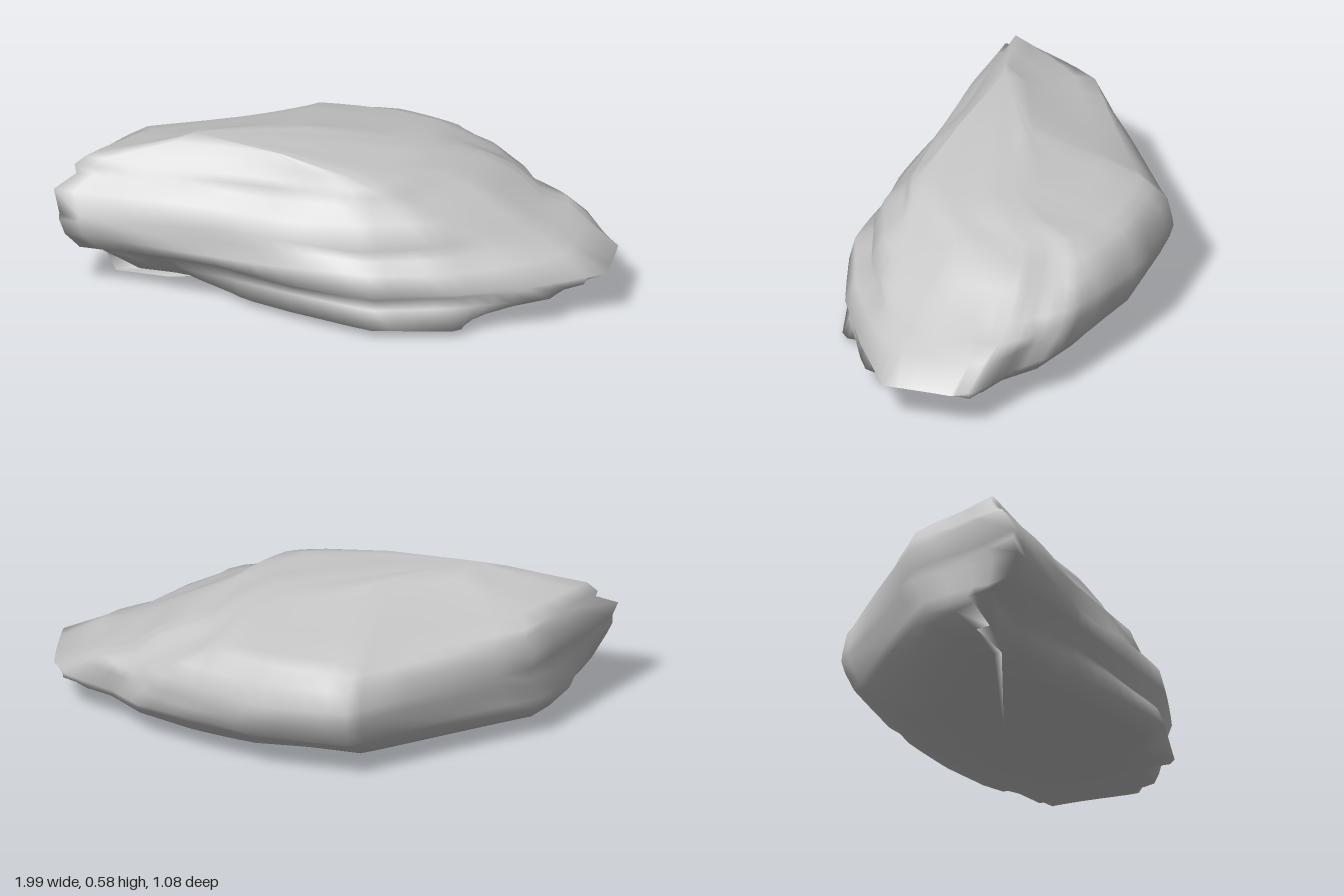
import * as THREE from 'three';

// Widest outline of the boulder in plan (x, z), starting at the pointed corner
const OUTLINE = [
  [-1, 0.48], [-0.7, 0.5], [-0.4, 0.5], [-0.1, 0.53], [0.22, 0.53], [0.5, 0.44],
  [0.75, 0.29], [0.99, 0.11], [0.97, -0.15], [0.92, -0.22], [0.72, -0.31], [0.6, -0.41],
  [0.4, -0.48], [0.15, -0.54], [-0.21, -0.54], [-0.4, -0.37], [-0.8, -0.02],
];

// Rock strata: height, then reach to the -x, +x, -z and +z sides
const STRATA = [
  [0.012, -0.7, 0.3, -0.16, 0.44],
  [0.03, -0.92, 0.53, -0.3, 0.535],
  [0.1, -0.97, 0.82, -0.43, 0.51],
  [0.135, -0.99, 0.92, -0.46, 0.49],
  [0.165, -1, 0.99, -0.5, 0.54],
  [0.23, -0.98, 0.85, -0.53, 0.52],
  [0.27, -0.96, 0.77, -0.54, 0.46],
  [0.31, -0.97, 0.68, -0.54, 0.47],
  [0.385, -1, 0.57, -0.52, 0.43],
  [0.43, -0.93, 0.46, -0.47, 0.37],
  [0.46, -0.94, 0.38, -0.42, 0.355],
  [0.49, -0.9, 0.32, -0.28, 0.34],
  [0.52, -0.77, 0.2, -0.12, 0.3],
  [0.56, -0.62, -0.15, 0, 0.26],
];

const PIVOT = -0.25; // the left and right halves are shaped separately about this x
const STEPS = 4;     // points per outline edge
const { clamp, lerp, mapLinear, smoothstep } = THREE.MathUtils;

function resample(points) {
  const out = [];
  points.forEach(([x, z], i) => {
    const [nx, nz] = points[(i + 1) % points.length];
    for (let s = 0; s < STEPS; s++) out.push([lerp(x, nx, s / STEPS), lerp(z, nz, s / STEPS)]);
  });
  return out;
}

function layerPoint(x, z, [y, left, right, back, front]) {
  let px;
  if (x < PIVOT) {
    px = PIVOT + (x - PIVOT) * (PIVOT - left) / (PIVOT + 1);
  } else {
    // the right end is cut off by a sloping underside below and a softer slope above
    const scaled = PIVOT + (x - PIVOT) * (right - PIVOT) / (0.99 - PIVOT);
    px = lerp(scaled, Math.min(x, right), y < 0.2 ? 1 : 0.5);
  }
  let pz = mapLinear(z, -0.54, 0.53, back, front);

  // deep undercut below the pointed corner and the left of the front face
  const under = clamp((0.27 - y) / 0.24, 0, 1) * smoothstep(z, 0.15, 0.48);
  pz -= 0.27 * under * clamp(0.2 - x, 0, 1);
  px += 0.2 * under * clamp((-x - 0.3) / 0.5, 0, 1);

  // weathered ripple, fading out on the flat base and crown
  const fade = Math.min(1, y / 0.1) * Math.min(1, (0.585 - y) / 0.15);
  const ripple = 0.006 * fade * (Math.sin(x * 7 + y * 31) + Math.sin(z * 9 - y * 47 + x * 3));
  return [px * (1 + ripple), y + ripple, pz * (1 + ripple)];
}

function boulderGeometry() {
  const ring = resample(OUTLINE);
  const n = ring.length;
  const positions = [];
  const index = [];
  for (const layer of STRATA) {
    for (const [x, z] of ring) positions.push(...layerPoint(x, z, layer));
  }
  const base = positions.length / 3;
  positions.push(0, 0, 0, -0.52, 0.585, 0.21); // base centre and summit
  const topRow = (STRATA.length - 1) * n;
  for (let j = 0; j < n; j++) {
    const k = (j + 1) % n;
    for (let row = 0; row < topRow; row += n) {
      index.push(row + j, row + k, row + n + j, row + k, row + n + k, row + n + j);
    }
    index.push(k, j, base);
    index.push(topRow + j, topRow + k, base + 1);
  }
  const geometry = new THREE.BufferGeometry();
  geometry.setAttribute('position', new THREE.Float32BufferAttribute(positions, 3));
  geometry.setIndex(index);
  geometry.computeVertexNormals();
  return geometry;
}

export function createModel() {
  const group = new THREE.Group();
  group.name = 'rock';
  const stone = new THREE.MeshStandardMaterial({ color: 0xc6c6c6 });
  stone.name = 'stone grey';
  const boulder = new THREE.Mesh(boulderGeometry(), stone);
  boulder.name = 'boulder';
  group.add(boulder);
  return group;
}
